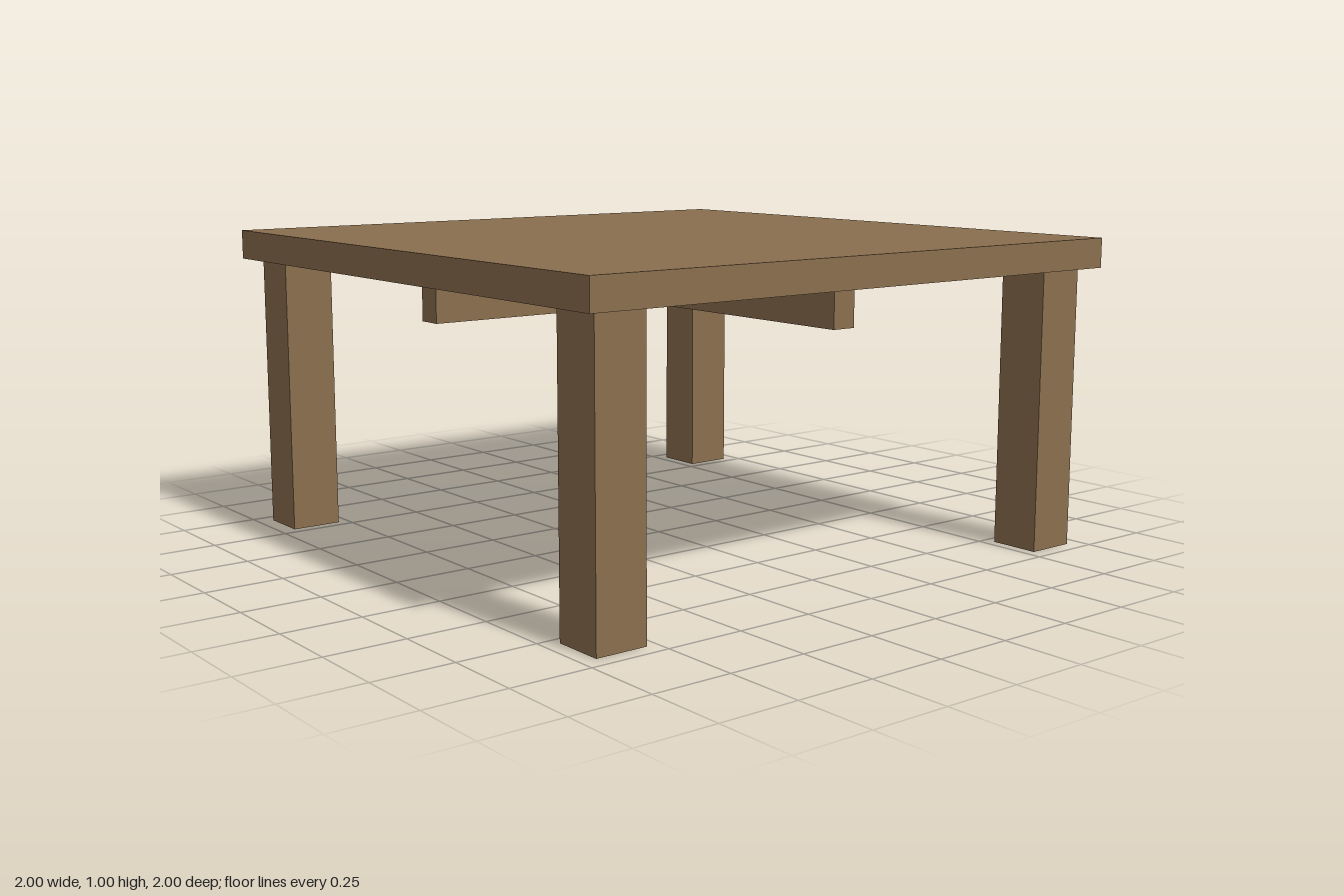
import * as THREE from 'three';

export function createModel() {
  const table = new THREE.Group();
  table.name = 'table';
  const wood = new THREE.MeshStandardMaterial({ color: 0x8b6f4e });
  wood.name = 'brown wood';

  const addBox = (name, [w, h, d], [x, y, z]) => {
    const mesh = new THREE.Mesh(new THREE.BoxGeometry(w, h, d), wood);
    mesh.name = name;
    mesh.position.set(x, y, z);
    table.add(mesh);
  };

  const topThickness = 0.095;
  const legHeight = 1 - topThickness;
  const legWidth = 0.165;
  const legOffset = 0.867; // leg centre from the table centre
  const braceWidth = 0.08;
  const braceHeight = 0.13;
  const braceHalf = 0.867;

  // Square top
  addBox('tabletop', [2, topThickness, 2], [0, 1 - topThickness / 2, 0]);

  // Four square legs set in from the corners
  for (const [side, sx] of [['Left', 1], ['Right', -1]]) {
    for (const [end, sz] of [['front', 1], ['back', -1]]) {
      addBox(`${end}${side}Leg`, [legWidth, legHeight, legWidth],
        [sx * legOffset, legHeight / 2, sz * legOffset]);
    }
  }

  // Crossed braces under the top: one full-length, two halves butting against it
  const braceY = legHeight - braceHeight / 2;
  addBox('longBrace', [braceWidth, braceHeight, braceHalf * 2], [0, braceY, 0]);
  const halfLength = braceHalf - braceWidth / 2;
  for (const [name, s] of [['leftCrossBrace', 1], ['rightCrossBrace', -1]]) {
    addBox(name, [halfLength, braceHeight, braceWidth],
      [s * (braceWidth + halfLength) / 2, braceY, 0]);
  }

  return table;
}
